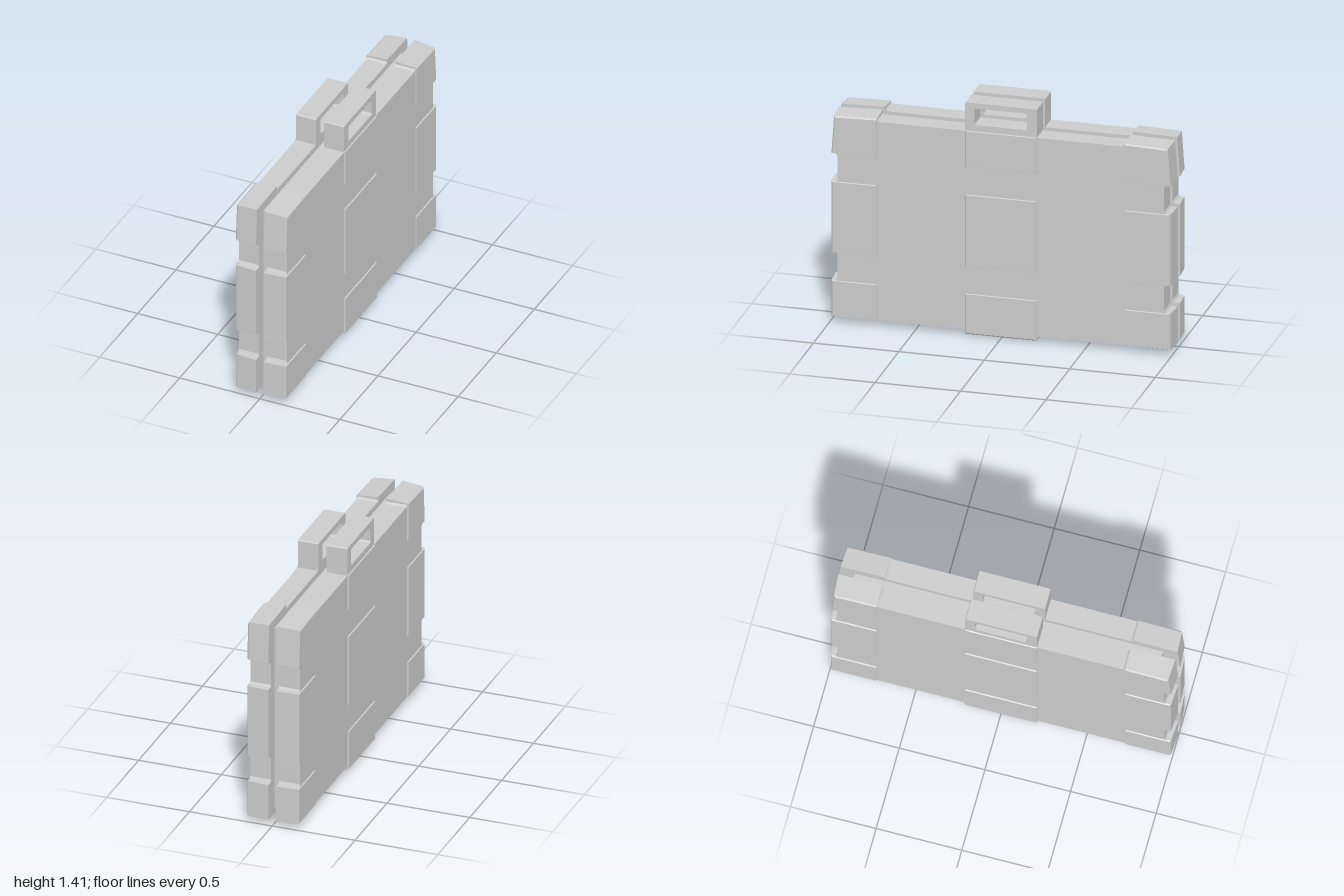
import * as THREE from 'three';

const material = new THREE.MeshStandardMaterial({ color: 0xcccccc, flatShading: true });
const INNER = 0.024, FACE = 0.15, PAD_FACE = 0.157;

function add(parent, name, geometry) {
  const mesh = new THREE.Mesh(geometry, material);
  mesh.name = name;
  parent.add(mesh);
  return mesh;
}

// Extrude an outline drawn in (z, y) along x
function extrudeX(shape, x0, x1) {
  const geo = new THREE.ExtrudeGeometry(shape, { depth: x1 - x0, bevelEnabled: false, curveSegments: 4 });
  geo.rotateY(Math.PI / 2);
  geo.translate(x0, 0, 0);
  return geo;
}

function roundedRect(path, w, y0, y1, r) {
  path.moveTo(-w + r, y0);
  path.lineTo(w - r, y0);
  path.absarc(w - r, y0 + r, r, -Math.PI / 2, 0);
  path.absarc(w - r, y1 - r, r, 0, Math.PI / 2);
  path.absarc(-w + r, y1 - r, r, Math.PI / 2, Math.PI);
  path.absarc(-w + r, y0 + r, r, Math.PI, Math.PI * 1.5);
  return path;
}

// Padded block with a chamfered face. The exposed sides (z0, z1, y0, y1) taper
// outward; lean tilts the outer end and the top of the top corners.
function padGeometry(z0, z1, y0, y1, exposed = '', lean = 0) {
  const geo = new THREE.BoxGeometry(1, 1, 1, 2, 1, 1);
  const p = geo.attributes.position;
  const xs = [INNER, PAD_FACE - 0.009, PAD_FACE];
  const inset = (k, side) => (exposed.includes(side) ? [0, 0.008, 0.016][k] : [0, 0, 0.004][k]);
  for (let i = 0; i < p.count; i++) {
    const k = Math.round(p.getX(i) * 2 + 1);
    const far = p.getZ(i) > 0, top = p.getY(i) > 0;
    let z = far ? z1 - inset(k, 'z1') : z0 + inset(k, 'z0');
    let y = top ? y1 - inset(k, 'y1') : y0 + inset(k, 'y0');
    if (far && top) {
      z -= lean * 2;
      y -= lean;
    }
    p.setXYZ(i, xs[k], y, z);
  }
  geo.computeVertexNormals();
  return geo;
}

// Turn a +z pad into its -z twin
function mirrorZ(geometry) {
  const geo = geometry.clone().scale(1, 1, -1);
  const index = geo.index;
  for (let i = 0; i < index.count; i += 3) {
    const a = index.getX(i);
    index.setX(i, index.getX(i + 1));
    index.setX(i + 1, a);
  }
  geo.computeVertexNormals();
  return geo;
}

function createHalf() {
  const half = new THREE.Group();

  // Shell outline with small flares where the pads step out
  const side = [
    [0.2, 0.018], [0.21, 0.027], [0.225, 0.035],
    [0.97, 0.035], [0.97, 0.25], [0.962, 0.254], [0.955, 0.268],
    [0.955, 0.405], [0.962, 0.417], [0.97, 0.422],
    [0.97, 0.848], [0.962, 0.853], [0.955, 0.865],
    [0.955, 1.003], [0.962, 1.015], [0.97, 1.022],
    [0.965, 1.235], [0.74, 1.248], [0.727, 1.246], [0.712, 1.235],
  ];
  const outline = [...side, ...side.map(([z, y]) => [-z, y]).reverse()];
  const shell = new THREE.Shape(outline.map(([z, y]) => new THREE.Vector2(z, y)));
  add(half, 'shell', extrudeX(shell, INNER + 0.001, FACE));

  // Edge and corner pads at both ends
  const ends = [
    ['topCornerPad', padGeometry(0.725, 1.0, 1.02, 1.262, 'z1 y1', 0.008)],
    ['sidePad', padGeometry(0.725, 1.0, 0.418, 0.852, 'z1')],
    ['bottomCornerPad', padGeometry(0.725, 1.0, 0.033, 0.253, 'z1')],
  ];
  for (const [name, geo] of ends) {
    add(half, name, geo);
    add(half, name, mirrorZ(geo));
  }

  // Middle column of pads
  add(half, 'upperMiddlePad', padGeometry(-0.21, 0.21, 1.02, 1.238));
  add(half, 'centrePad', padGeometry(-0.21, 0.21, 0.418, 0.852));
  add(half, 'footPad', padGeometry(-0.21, 0.21, 0, 0.253, 'y0'));

  // Handle loop
  const loop = roundedRect(new THREE.Shape(), 0.21, 1.2, 1.407, 0.008);
  loop.holes.push(roundedRect(new THREE.Path(), 0.153, 1.275, 1.375, 0.014));
  add(half, 'handle', extrudeX(loop, INNER, FACE));
  return half;
}

export function createModel() {
  const model = new THREE.Group();
  model.name = 'case';

  // Two matching halves, back to back
  const left = createHalf();
  left.name = 'leftHalf';
  const right = createHalf();
  right.name = 'rightHalf';
  right.rotation.y = Math.PI;
  model.add(left, right);

  // Recessed seam between the halves
  const seam = add(model, 'seam', new THREE.BoxGeometry(0.06, 1.135, 1.8));
  seam.position.y = 0.6325;
  return model;
}
